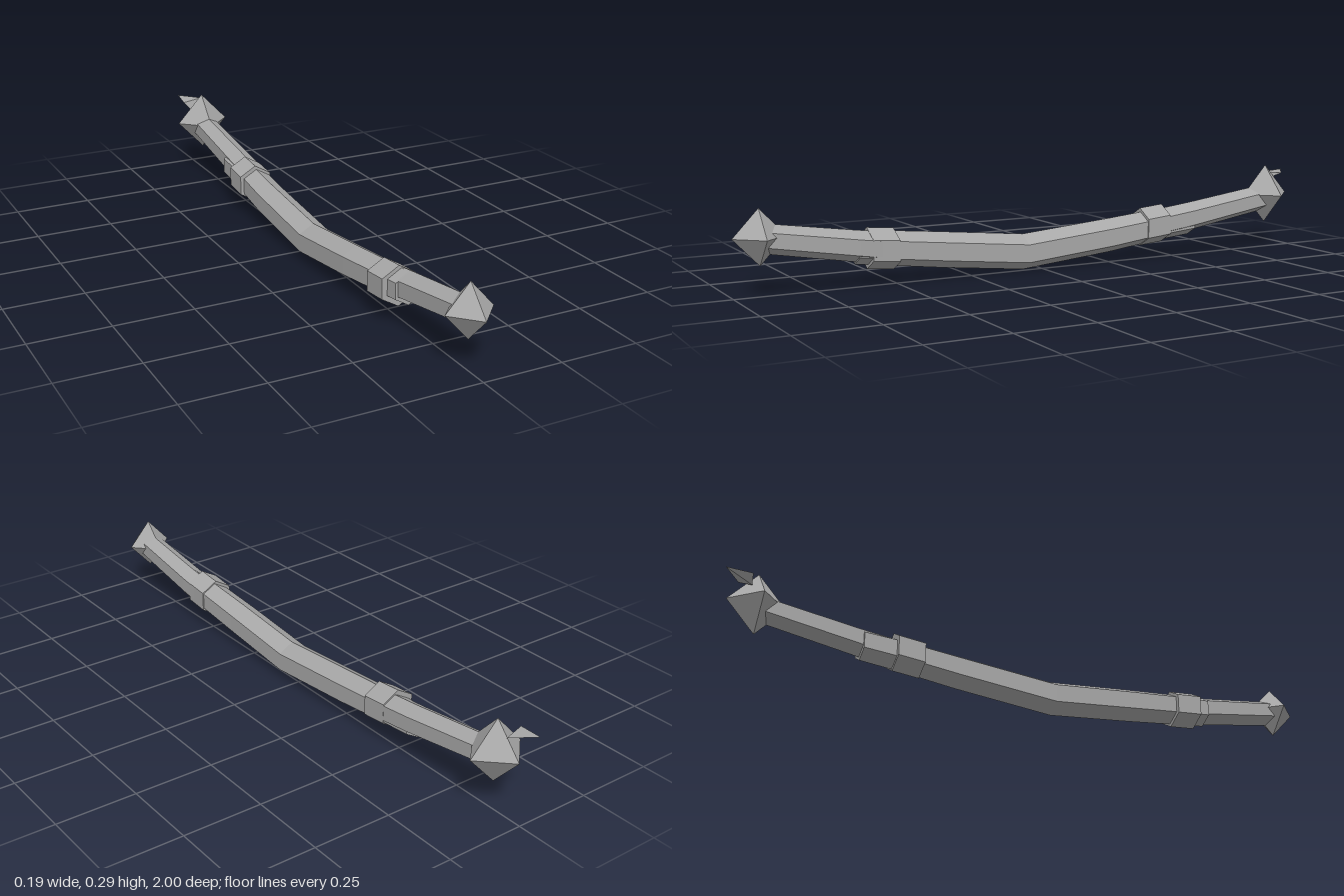
import * as THREE from 'three';
import { ConvexGeometry } from 'three/addons/geometries/ConvexGeometry.js';

const gray = new THREE.MeshStandardMaterial({ color: 0xa8a8a8, flatShading: true });
gray.name = 'stone gray';

// Hexagonal beam with ridges up and down through stations [x, y, z, radius], z increasing
function hexLoft(stations) {
  const rings = stations.map(([x, y, z, r]) =>
    Array.from({ length: 6 }, (_, k) => {
      const a = Math.PI / 2 + (k * Math.PI) / 3;
      return [x + r * Math.cos(a), y + r * Math.sin(a), z];
    }));
  const pos = [];
  const tri = (...corners) => corners.forEach((c) => pos.push(...c));
  const first = rings[0], last = rings[rings.length - 1];
  for (let i = 0; i < rings.length - 1; i++) {
    for (let k = 0; k < 6; k++) {
      const n = (k + 1) % 6;
      tri(rings[i][k], rings[i][n], rings[i + 1][n]);
      tri(rings[i][k], rings[i + 1][n], rings[i + 1][k]);
    }
  }
  for (let k = 1; k < 5; k++) {
    tri(last[0], last[k], last[k + 1]);
    tri(first[0], first[k + 1], first[k]);
  }
  const geometry = new THREE.BufferGeometry();
  geometry.setAttribute('position', new THREE.Float32BufferAttribute(pos, 3));
  geometry.computeVertexNormals();
  return geometry;
}

export function createModel() {
  const model = new THREE.Group();
  model.name = 'bowedBeam';
  const add = (name, geometry) => {
    const mesh = new THREE.Mesh(geometry, gray);
    mesh.name = name;
    model.add(mesh);
    return mesh;
  };

  // Central bow, lowest in the middle
  add('centralBeam', hexLoft([
    [-0.008, 0.117, -0.57, 0.05],
    [-0.01, 0.107, -0.44, 0.053],
    [-0.015, 0.086, -0.26, 0.056],
    [-0.018, 0.057, 0.06, 0.057],
    [-0.015, 0.087, 0.34, 0.056],
    [-0.01, 0.11, 0.54, 0.053],
    [-0.008, 0.118, 0.63, 0.05],
  ]));

  // Thinner outer arms
  add('rearArm', hexLoft([
    [0, 0.174, -0.88, 0.044], [-0.002, 0.128, -0.57, 0.048], [-0.005, 0.11, -0.43, 0.049],
  ]));
  add('frontArm', hexLoft([
    [-0.004, 0.112, 0.55, 0.049], [-0.002, 0.124, 0.63, 0.048], [0, 0.168, 0.91, 0.044],
  ]));

  // Collars over the joints
  for (const [name, z, y] of [['rearCollar', -0.425, 0.108], ['frontCollar', 0.545, 0.108]]) {
    const dz = 0.043, dy = 0.004 * Math.sign(z);
    add(name, hexLoft([
      [-0.016, y - dy, z - dz, 0.063], [-0.016, y + dy, z + dz, 0.063],
    ]));
  }

  // Eight-sided end crystals
  for (const [name, y, z, sx, sy, sz] of [
    ['frontCrystal', 0.173, 0.92, 0.076, 0.084, 0.08],
    ['rearCrystal', 0.187, -0.89, 0.093, 0.099, 0.09],
  ]) {
    const crystal = add(name, new THREE.OctahedronGeometry(1));
    crystal.position.set(0, y, z);
    crystal.scale.set(sx, sy, sz);
  }

  // Small shard on the rear crystal
  add('rearShard', new ConvexGeometry([
    [-0.05, 0.262, -1.0], [-0.059, 0.255, -0.92], [0.02, 0.257, -0.945], [-0.035, 0.228, -0.915],
  ].map((p) => new THREE.Vector3(...p))));

  return model;
}
